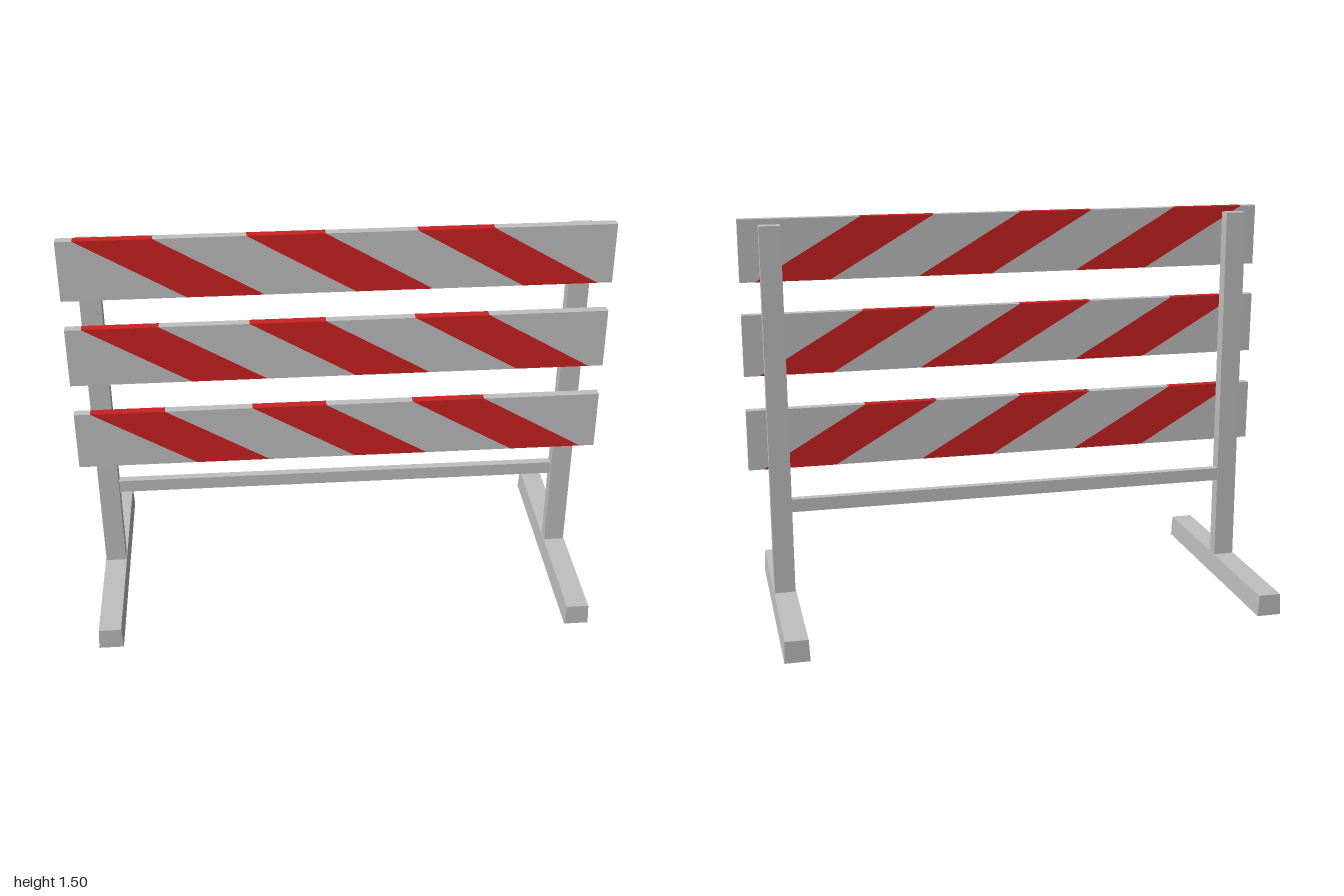
import * as THREE from 'three';

export function createModel() {
  const group = new THREE.Group();
  const grey = new THREE.MeshStandardMaterial({ color: 0xc0c0c0, name: 'paleGrey' });
  const red = new THREE.MeshStandardMaterial({ color: 0xcc2222, name: 'signalRed' });

  const add = (name, geometry, material, parent = group) => {
    const mesh = new THREE.Mesh(geometry, material);
    mesh.name = name;
    parent.add(mesh);
    return mesh;
  };

  // Box between two corners; rule(v) may shift each vertex
  const block = (x0, x1, y0, y1, z0, z1, rule) => {
    const geo = new THREE.BoxGeometry(x1 - x0, y1 - y0, z1 - z0);
    geo.translate((x0 + x1) / 2, (y0 + y1) / 2, (z0 + z1) / 2);
    if (rule) {
      const p = geo.attributes.position;
      const v = new THREE.Vector3();
      for (let i = 0; i < p.count; i++) {
        rule(v.fromBufferAttribute(p, i));
        p.setXYZ(i, v.x, v.y, v.z);
      }
      geo.computeVertexNormals();
    }
    return geo;
  };

  // Uprights lean slightly forward; feet narrow slightly towards the top
  for (const [side, x] of [['right', -0.9], ['left', 0.888]]) {
    add(side + 'Post', block(x - 0.039, x + 0.039, 0.08, 1.48, -0.013, 0.037, (v) => {
      v.z += 0.005 * v.y;
    }), grey);
    add(side + 'Foot', block(x - 0.046, x + 0.046, 0, 0.082, -0.477, 0.477, (v) => {
      if (v.y > 0.04) v.x = x + (v.x - x) * 0.91;
    }), grey);
  }

  // Cross rail
  add('crossRail', block(-0.862, 0.85, 0.4, 0.45, -0.008, 0.022), grey);

  // Boards, cut into slanted grey and red sections through the full thickness
  const H = 0.23, T = 0.034, SLANT = 0.39;
  const cuts = [-0.94, -0.66, -0.33, -0.05, 0.28, 0.555];
  const edges = [[-1, -1], ...cuts.map((x) => [x, x + SLANT]), [1, 1]]; // [top x, bottom x]
  [['lower', 0.56, 0.041], ['middle', 0.92, 0.0445], ['upper', 1.27, 0.0475]].forEach(([level, y, z]) => {
    const board = new THREE.Group();
    board.name = level + 'Board';
    for (let i = 0; i < edges.length - 1; i++) {
      const [a, b] = [edges[i], edges[i + 1]];
      const shape = new THREE.Shape([
        new THREE.Vector2(a[1], 0), new THREE.Vector2(b[1], 0),
        new THREE.Vector2(b[0], H), new THREE.Vector2(a[0], H),
      ]);
      const geo = new THREE.ExtrudeGeometry(shape, { depth: T, bevelEnabled: false });
      add(i % 2 ? 'redStripe' : 'greyPanel', geo, i % 2 ? red : grey, board);
    }
    board.position.set(0, y, z + 0.003);
    board.rotation.x = -0.014;
    group.add(board);
  });

  return group;
}
